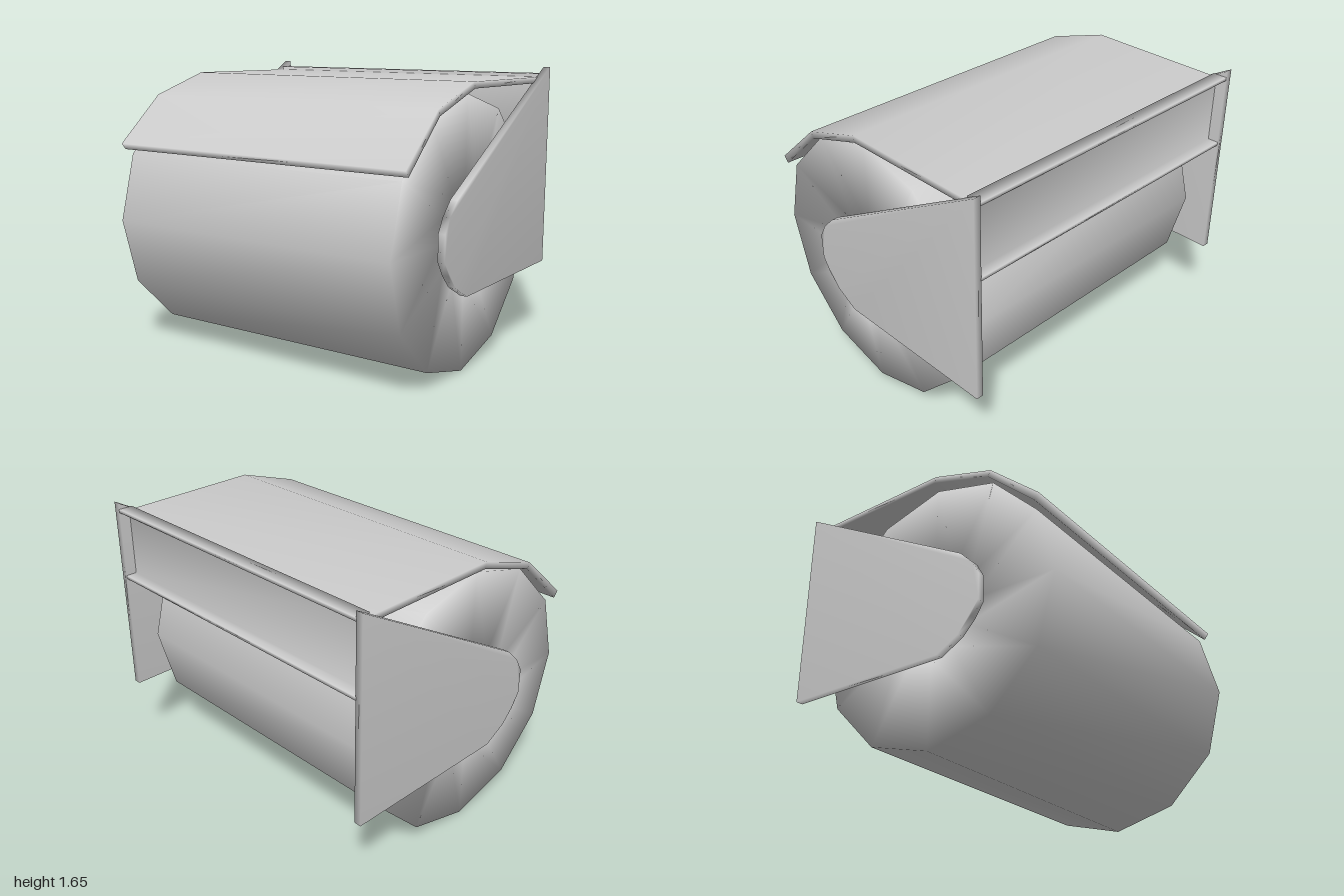
import * as THREE from 'three';
import { mergeVertices } from 'three/addons/utils/BufferGeometryUtils.js';

const material = new THREE.MeshStandardMaterial({ color: 0xcccccc });
const AXIS_Y = 0.77, AXIS_Z = 0.075;

// Share vertices across edges so the shading is smooth all over
function smooth(geometry) {
  geometry.deleteAttribute('uv');
  geometry.deleteAttribute('normal');
  const merged = mergeVertices(geometry, 1e-4);
  merged.computeVertexNormals();
  return merged;
}

// Extrude a side profile of [z, y] points along x, centred on x = 0
function extrudeSide(points, width) {
  const shape = new THREE.Shape(points.map(([z, y]) => new THREE.Vector2(-z, y)));
  const geometry = new THREE.ExtrudeGeometry(shape, { depth: width, bevelEnabled: false });
  geometry.translate(0, 0, -width / 2);
  geometry.rotateY(Math.PI / 2);
  return smooth(geometry);
}

function addPart(group, name, geometry, x = 0, y = 0, z = 0) {
  const mesh = new THREE.Mesh(geometry, material);
  mesh.name = name;
  mesh.position.set(x, y, z);
  group.add(mesh);
  return mesh;
}

export function createModel() {
  const group = new THREE.Group();
  group.name = 'paperRollHolder';

  // Twelve-sided paper roll with a hollow core
  const ring = [[0.27, -0.92], [0.77, -0.92], [0.77, 0.92], [0.27, 0.92], [0.27, -0.92]];
  const roll = new THREE.LatheGeometry(ring.map(([r, h]) => new THREE.Vector2(r, h)), 12);
  roll.rotateZ(-Math.PI / 2);
  addPart(group, 'paperRoll', smooth(roll), 0, AXIS_Y, AXIS_Z);

  // Spindle through the core, held by the brackets
  const spindle = new THREE.CylinderGeometry(0.118, 0.118, 1.93, 12);
  spindle.rotateZ(-Math.PI / 2);
  addPart(group, 'spindle', spindle, 0, AXIS_Y, AXIS_Z);

  // Tapered side brackets with a blunt rounded nose
  const bracket = extrudeSide([
    [-0.84, 1.652], [0.315, 1.01], [0.395, 0.93], [0.44, 0.85], [0.44, 0.70],
    [0.39, 0.62], [0.315, 0.54], [0.18, 0.465], [-0.84, 0.46],
  ], 0.042);
  for (const [name, side] of [['leftBracket', 1], ['rightBracket', -1]]) {
    addPart(group, name, bracket, side * 0.979);
  }

  // Bent sheet covering the roll
  addPart(group, 'cover', extrudeSide([
    [0.785, 1.215], [0.475, 1.485], [0.09, 1.605], [-0.765, 1.595],
    [-0.765, 1.56], [0.08, 1.568], [0.458, 1.45], [0.757, 1.18],
  ], 1.93));

  // Back channel joining the brackets, open to the rear
  addPart(group, 'backChannel', extrudeSide([
    [-0.755, 1.615], [-0.84, 1.615], [-0.84, 1.595], [-0.775, 1.595],
    [-0.775, 1.20], [-0.84, 1.20], [-0.84, 1.18], [-0.755, 1.18],
  ], 1.92));

  return group;
}
